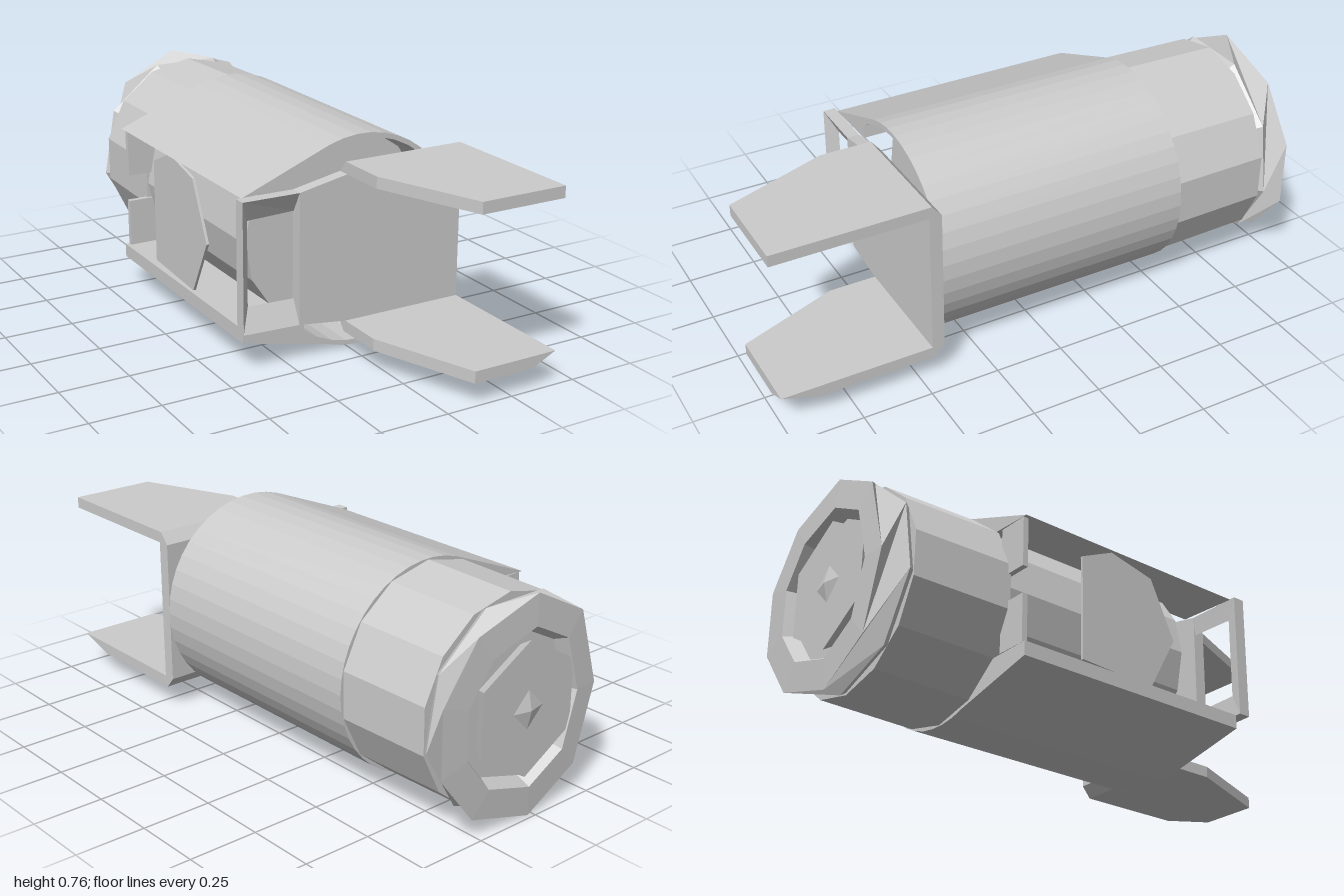
import * as THREE from 'three';
import { ConvexGeometry } from 'three/addons/geometries/ConvexGeometry.js';

const CX = 0.045, CY = 0.385; // axis of the round body

const material = () => new THREE.MeshStandardMaterial({
  color: 0xcccccc, flatShading: true, side: THREE.DoubleSide,
});

export function createModel() {
  const group = new THREE.Group();

  const add = (name, geometry) => {
    const mesh = new THREE.Mesh(geometry, material());
    mesh.name = name;
    group.add(mesh);
    return mesh;
  };

  // Extrude an outline in x,y between two depths
  const slab = (name, shape, z0, z1, curveSegments = 12) => {
    const g = new THREE.ExtrudeGeometry(shape, { depth: z1 - z0, bevelEnabled: false, curveSegments });
    return add(name, g.translate(0, 0, z0));
  };
  const outline = pts => new THREE.Shape(pts.map(p => new THREE.Vector2(...p)));

  // Skin rings of equal point count, each ring a list of [x, y, z]
  const loft = (name, rings) => {
    const n = rings[0].length, index = [];
    for (let r = 0; r < rings.length - 1; r++) {
      for (let i = 0; i < n; i++) {
        const a = r * n + i, b = r * n + (i + 1) % n;
        index.push(a, a + n, b, b, a + n, b + n);
      }
    }
    const g = new THREE.BufferGeometry();
    g.setAttribute('position', new THREE.Float32BufferAttribute(rings.flat(2), 3));
    g.setIndex(index);
    g.computeVertexNormals();
    return add(name, g);
  };

  // Cylinder along z
  const drum = (name, rFront, rBack, z0, z1, sides) => {
    const g = new THREE.CylinderGeometry(rFront, rBack, z1 - z0, sides);
    g.rotateX(Math.PI / 2).translate(CX, CY, (z0 + z1) / 2);
    return add(name, g);
  };

  // Housing: round on one side, two tapering walls open on the other
  const deg = Math.PI / 180;
  const housing = new THREE.Shape();
  housing.moveTo(-0.41, 0.66);
  housing.absarc(CX, CY, 0.377, 110 * deg, -110 * deg, true);
  housing.lineTo(-0.41, 0.105);
  housing.lineTo(-0.41, 0.155);
  housing.lineTo(-0.175, 0.15);
  housing.absarc(CX, CY, 0.36, -128 * deg, 128 * deg, false);
  housing.lineTo(-0.175, 0.62);
  housing.lineTo(-0.41, 0.61);
  slab('housing', housing, -0.53, 0.41, 13);

  // Inner drum, rear flanges and side panel inside the opening
  drum('innerDrum', 0.358, 0.358, -0.525, 0.25, 16);
  for (const [y0, y1] of [[0.155, 0.33], [0.43, 0.61]]) {
    slab('rearFlange', outline([[-0.395, y0], [-0.28, y0], [-0.28, y1], [-0.395, y1]]), -0.53, -0.51);
  }
  const panel = outline([[-0.28, 0.17], [0.02, 0.155], [0.13, 0.36], [0.03, 0.57], [-0.15, 0.61], [-0.28, 0.55]]);
  const panelGeometry = new THREE.ExtrudeGeometry(panel, { depth: 0.01, bevelEnabled: false });
  add('sidePanel', panelGeometry.rotateY(-Math.PI / 2).translate(-0.387, 0, 0));

  // Rear barrel
  drum('rearBarrel', 0.373, 0.366, -0.89, -0.52, 14);

  // Rear cap: irregular flared rim, flat ring and recessed centre
  const rim = [[0.02, 0.768], [0.28, 0.69], [0.42, 0.5], [0.42, 0.26], [0.28, 0.08],
    [0.02, 0.003], [-0.19, 0.12], [-0.27, 0.39], [-0.19, 0.66]];
  const n = rim.length;
  const circleRing = (r, z, shift) => rim.map((_, i) => {
    const a = Math.PI / 2 - (i + shift) * 2 * Math.PI / n;
    return [CX + r * Math.cos(a), CY + r * Math.sin(a), z];
  });
  const scaledRing = (s, z) => rim.map(([x, y]) => [CX + (x - CX) * s, CY + (y - CY) * s, z]);
  loft('rearCap', [circleRing(0.35, -0.88, 0.5), circleRing(0.372, -0.91, 0.5),
    scaledRing(1, -0.985), scaledRing(0.72, -0.99), scaledRing(0.66, -0.94), scaledRing(0, -0.94)]);

  // Hexagonal hub with a small pointed stud
  drum('hub', 0.2, 0.235, -0.985, -0.93, 6);
  const stud = drum('hubStud', 0.09, 0, -1, -0.98, 4);
  stud.geometry.translate(0, 0, 0);

  // Front plate
  slab('frontPlate', outline([[-0.22, 0.148], [-0.04, 0.125], [0.42, 0.125],
    [0.42, 0.645], [-0.04, 0.645], [-0.22, 0.61]]), 0.41, 0.455);

  // Window frame beside the plate, with sloping inner faces
  const outer = [[-0.43, 0.155], [-0.22, 0.148], [-0.22, 0.61], [-0.43, 0.612]];
  const inner = [[-0.393, 0.235], [-0.22, 0.23], [-0.22, 0.538], [-0.393, 0.533]];
  const at = (pts, z) => pts.map(p => [...p, z]);
  loft('windowFrame', [at(outer, 0.41), at(outer, 0.455), at(inner, 0.415), at(outer, 0.41)]);

  // Prongs: tapered plates reaching forward, chamfered where they meet the plate
  const prong = (name, yIn, yOut, tip) => {
    const pts = [...tip];
    for (const x of [-0.04, 0.42]) {
      pts.push([x, yIn, 0.41], [x, yOut, 0.445]);
    }
    for (const y of [yIn, yOut]) pts.push([-0.04, y, 0.63], [0.1, y, 1]);
    add(name, new ConvexGeometry(pts.map(p => new THREE.Vector3(...p))));
  };
  prong('upperProng', 0.645, 0.686, [[0.42, 0.645, 1], [0.42, 0.686, 1]]);
  prong('lowerProng', 0.125, 0.083, [[0.42, 0.125, 1], [0.33, 0.083, 1], [0.42, 0.083, 0.86]]);

  return group;
}
